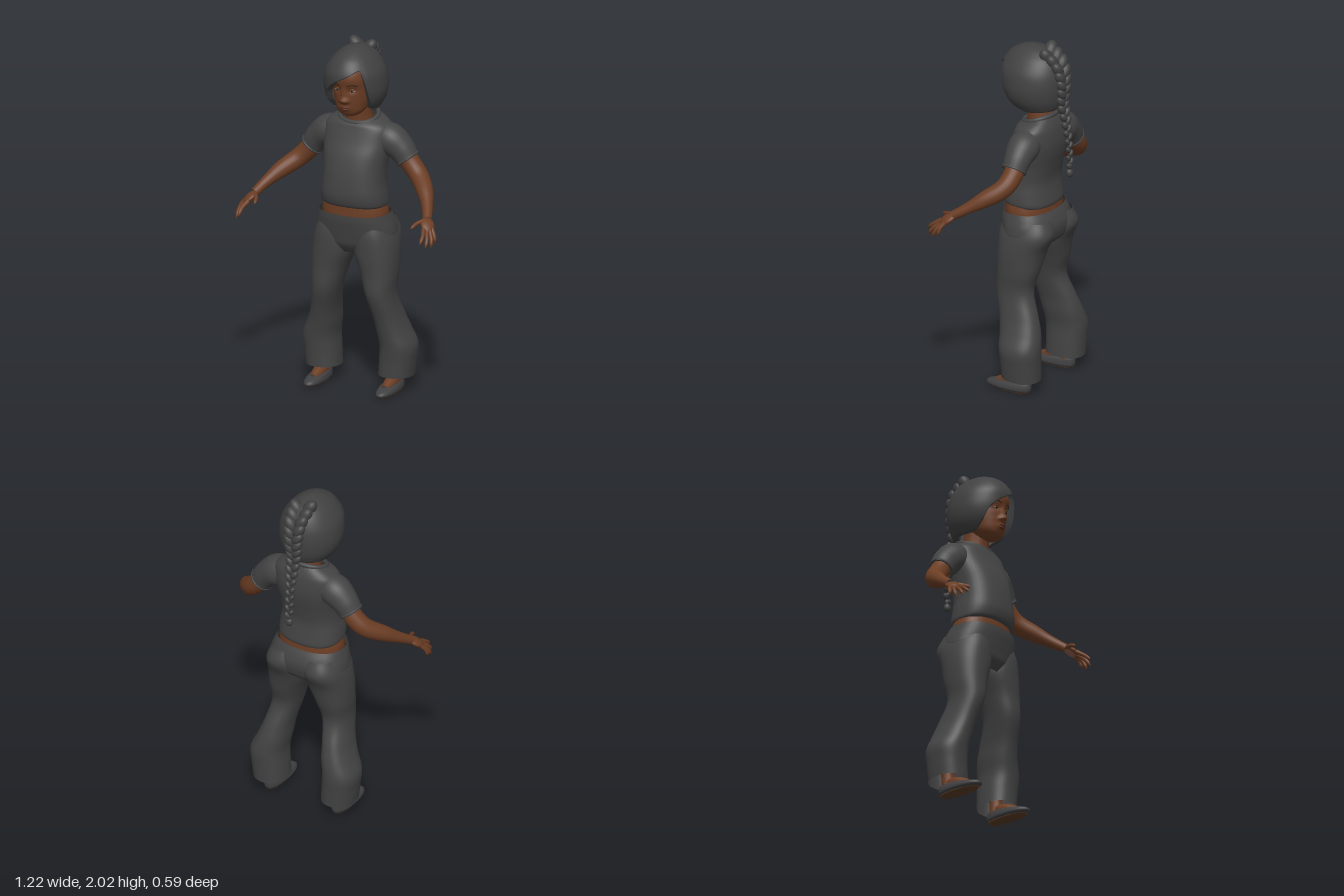
import * as THREE from 'three';
import { mergeVertices, mergeGeometries } from 'three/addons/utils/BufferGeometryUtils.js';

const V = (x, y, z) => new THREE.Vector3(x, y, z);
const mat = (name, color, side = THREE.FrontSide) => {
  const m = new THREE.MeshStandardMaterial({ color, side });
  m.name = name;
  return m;
};
const bump = (x, y, cx, cy, sx, sy) => Math.exp(-(((x - cx) / sx) ** 2) - ((y - cy) / sy) ** 2);

// smooth interpolation through the rows of a table, t from 0 to 1
function sample(rows, t) {
  const f = Math.min(Math.max(t, 0), 1) * (rows.length - 1);
  const i = Math.min(Math.floor(f), rows.length - 2), u = f - i;
  const at = k => rows[Math.min(Math.max(k, 0), rows.length - 1)];
  return rows[i].map((b, k) => {
    const a = at(i - 1)[k], c = at(i + 1)[k], d = at(i + 2)[k];
    return b + 0.5 * u * (c - a + u * (2 * a - 5 * b + 4 * c - d + u * (3 * (b - c) + d - a)));
  });
}

// point on a cross-section [y, centreX, halfWidth, zFront, zBack, tilt]
function ringPoint([y, cx, w, zf, zb, tilt = 0], a, e) {
  const p = v => Math.sign(v) * Math.abs(v) ** (2 / e);
  const s = p(Math.sin(a)), c = p(Math.cos(a));
  return [cx + w * s, y + tilt * c, (zf + zb) / 2 + c * (zf - zb) / 2];
}

// skin a grid of points: rows go up, columns go round
function gridGeometry(rows, cols, point, capped = false) {
  const pos = [], idx = [];
  for (let i = 0; i <= rows; i++)
    for (let j = 0; j < cols; j++) pos.push(...point(i / rows, (j / cols) * Math.PI * 2));
  for (let i = 0; i < rows; i++)
    for (let j = 0; j < cols; j++) {
      const k = (j + 1) % cols, a = i * cols, b = a + cols;
      idx.push(a + j, a + k, b + k, a + j, b + k, b + j);
    }
  if (capped) for (const r of [0, rows]) {
    const c = [0, 0, 0], n = pos.length / 3;
    for (let j = 0; j < cols; j++) for (let k = 0; k < 3; k++) c[k] += pos[(r * cols + j) * 3 + k] / cols;
    pos.push(...c);
    for (let j = 0; j < cols; j++) {
      const p = r * cols + j, q = r * cols + (j + 1) % cols;
      idx.push(...(r ? [n, p, q] : [n, q, p]));
    }
  }
  const g = new THREE.BufferGeometry();
  g.setAttribute('position', new THREE.Float32BufferAttribute(pos, 3));
  g.setIndex(idx);
  g.computeVertexNormals();
  return g;
}

// skin of stacked cross-sections; a missing tilt counts as zero
function loft(sections, { e = 2, rows = 40, cols = 40, capped = false, rule = p => p } = {}) {
  const full = sections.map(([y, x, w, zf, zb, tilt = 0]) => [y, x, w, zf, zb, tilt]);
  return gridGeometry(rows, cols, (t, a) => rule(ringPoint(sample(full, t), a, e)), capped);
}

// tube whose radius changes along its path
function limb(points, radii, seg = 20, sides = 16) {
  const curve = new THREE.CatmullRomCurve3(points.map(p => V(...p)));
  let g = new THREE.TubeGeometry(curve, seg, 1, sides);
  const p = g.attributes.position, v = V(0, 0, 0), table = radii.map(r => [r]);
  for (let i = 0; i < p.count; i++) {
    const t = Math.floor(i / (sides + 1)) / seg, c = curve.getPointAt(t);
    const r = Math.max(sample(table, t)[0], 0.0005);
    v.fromBufferAttribute(p, i).sub(c).multiplyScalar(r).add(c);
    p.setXYZ(i, v.x, v.y, v.z);
  }
  g.deleteAttribute('uv');
  g.deleteAttribute('normal');
  g = mergeVertices(g, 1e-6);
  g.computeVertexNormals();
  return g;
}
const ball = (x, y, z, rx, ry, rz, tilt = 0) =>
  new THREE.SphereGeometry(1, 18, 12).scale(rx, ry, rz).rotateZ(tilt).translate(x, y, z);

export function createModel() {
  const D = THREE.DoubleSide;
  const skin = mat('skin', 0x6b3d24), palmSkin = mat('palm skin', 0x8a5f4c), lip = mat('lips', 0x562c20);
  const hair = mat('hair', 0x414141, D), shirt = mat('shirt cloth', 0x444444, D);
  const trousers = mat('trouser cloth', 0x434344, D), shoe = mat('shoe', 0x404042, D);
  const sole = mat('sole', 0x5a3a26), eyeWhite = mat('eye white', 0x7d6f66), dark = mat('dark brown', 0x24170f);
  const model = new THREE.Group();
  const add = (name, geo, m) => {
    const mesh = new THREE.Mesh(geo, m);
    mesh.name = name;
    model.add(mesh);
    return mesh;
  };

  // head with nose, lips and eye sockets pushed out of the surface
  add('head', loft([
    [1.61, 0, 0.03, 0.06, 0], [1.625, 0, 0.06, 0.085, -0.04], [1.65, 0, 0.083, 0.098, -0.08],
    [1.69, 0, 0.1, 0.106, -0.14], [1.73, 0, 0.11, 0.11, -0.17], [1.78, 0, 0.116, 0.116, -0.19],
    [1.84, 0, 0.118, 0.128, -0.19], [1.9, 0, 0.108, 0.105, -0.18], [1.95, 0, 0.07, 0.05, -0.12],
  ], { e: 2.15, rows: 70, cols: 80, capped: true, rule: ([x, y, z]) => {
    if (z > 0) z += 0.027 * bump(x, y, 0, 1.715, 0.02, 0.018) + 0.012 * bump(x, y, 0, 1.752, 0.014, 0.03)
      + 0.01 * bump(Math.abs(x), y, 0.02, 1.71, 0.011, 0.01) + 0.011 * bump(x, y, 0, 1.668, 0.028, 0.016)
      - 0.01 * bump(Math.abs(x), y, 0.045, 1.772, 0.024, 0.016);
    return [x, y, z];
  } }), skin);
  add('neck', limb([[0, 1.5, -0.09], [0, 1.58, -0.08], [0, 1.68, -0.06]], [0.085, 0.074, 0.07]), skin);
  add('upperLip', ball(0, 1.674, 0.109, 0.026, 0.006, 0.009), lip);
  add('lowerLip', ball(0, 1.661, 0.106, 0.022, 0.007, 0.009), lip);

  // hair cap, its lower edge rising over the face as a swept fringe
  const hairRows = [[1.63, 0, 0.118, 0.075, -0.195], [1.69, 0, 0.158, 0.12, -0.22], [1.75, 0, 0.175, 0.143, -0.23],
    [1.81, 0, 0.174, 0.153, -0.232], [1.87, 0, 0.16, 0.152, -0.222], [1.93, 0, 0.122, 0.118, -0.195],
    [1.965, 0, 0.085, 0.075, -0.155], [1.988, 0, 0.048, 0.025, -0.105], [2, 0, 0.002, -0.03, -0.035]];
  const edge = [[-181, 1.65], [-90, 1.635], [-62, 1.64], [-48, 1.69], [-38, 1.755], [-20, 1.81], [0, 1.845],
    [25, 1.885], [38, 1.9], [43, 1.86], [50, 1.74], [60, 1.66], [90, 1.635], [181, 1.65]];
  const lowerEdge = deg => {
    const i = edge.findIndex(p => p[0] >= deg), [a, b] = [edge[i - 1], edge[i]];
    return a[1] + (b[1] - a[1]) * (deg - a[0]) / (b[0] - a[0]);
  };
  const startAt = y => {
    let lo = 0, hi = 1;
    for (let k = 0; k < 24; k++) {
      const m = (lo + hi) / 2;
      if (sample(hairRows, m)[0] < y) lo = m; else hi = m;
    }
    return lo;
  };
  add('hairCap', gridGeometry(40, 120, (t, a) => {
    const deg = THREE.MathUtils.radToDeg(a > Math.PI ? a - 2 * Math.PI : a);
    const t0 = startAt(lowerEdge(deg));
    const u = Math.max(0, (t - 0.025) / 0.975);
    const [x, y, z] = ringPoint(sample(hairRows, t0 + (1 - t0) * u), a, 2.05);
    const k = t === 0 ? 0.8 : 1; // first row folds inward to give the edge thickness
    return [x * k, y, -0.04 + (z + 0.04) * k];
  }), hair);

  // braid of overlapping strands from the crown down the back
  const braidPath = new THREE.CatmullRomCurve3([V(0, 1.965, -0.12), V(0, 1.9, -0.205), V(0, 1.79, -0.233),
    V(0, 1.68, -0.228), V(0, 1.6, -0.245), V(0, 1.45, -0.268), V(0, 1.32, -0.275)]);
  const strands = [];
  for (let i = 0; i < 30; i++) {
    const t = i / 29, p = braidPath.getPointAt(t), side = i % 2 ? 1 : -1;
    const r = 0.046 - 0.03 * Math.min(1, t * 1.25);
    // turn each strand about its own centre
    strands.push(ball(0, 0, 0, r * 0.8, r * 1.3, r * 0.85, -side * 0.6).translate(p.x + side * r * 0.75, p.y, p.z));
  }
  strands.push(ball(0, 1.315, -0.275, 0.012, 0.02, 0.012), ball(0, 1.278, -0.272, 0.022, 0.026, 0.02));
  strands.push(new THREE.ConeGeometry(0.017, 0.035, 12).rotateX(Math.PI).translate(0, 1.262, -0.27));
  add('braid', mergeGeometries(strands), hair);

  // shirt body and collar
  add('shirtBody', loft([
    [1.078, 0, 0.178, 0.095, -0.175, 0.008], [1.095, 0, 0.188, 0.112, -0.18, 0.005], [1.15, 0, 0.186, 0.124, -0.172],
    [1.22, 0, 0.178, 0.12, -0.166], [1.3, 0, 0.178, 0.108, -0.18], [1.38, 0, 0.188, 0.086, -0.198],
    [1.45, 0, 0.197, 0.055, -0.206], [1.52, 0, 0.196, 0.03, -0.2, -0.005], [1.555, 0, 0.165, 0.02, -0.188, -0.012],
    [1.58, 0, 0.118, 0.008, -0.172, -0.022],
  ], { e: 2.4 }), shirt);
  const collar = [];
  for (let i = 0; i < 24; i++) collar.push(V(...ringPoint([1.581, 0, 0.11, 0.002, -0.168, -0.026], i / 12 * Math.PI, 2.1)));
  add('collar', new THREE.TubeGeometry(new THREE.CatmullRomCurve3(collar, true), 60, 0.013, 10, true), shirt);

  // bare waist and trouser seat
  add('waist', loft([[1, 0, 0.19, 0.09, -0.17], [1.05, 0, 0.19, 0.09, -0.165], [1.12, 0, 0.172, 0.088, -0.16]], { e: 2.3 }), skin);
  add('trouserSeat', loft([
    [0.81, 0, 0.09, 0.05, -0.12], [0.86, 0, 0.2, 0.082, -0.19], [0.91, 0, 0.232, 0.094, -0.212],
    [0.96, 0, 0.228, 0.104, -0.215], [1.005, 0, 0.215, 0.112, -0.2], [1.042, 0, 0.203, 0.114, -0.178],
  ], { e: 2.4 }), trousers);

  for (const s of [1, -1]) {
    const side = s > 0 ? 'left' : 'right';
    const path = pts => pts.map(([x, y, z]) => [s * x, y, z]);
    const rings = rows => rows.map(([y, x, ...r]) => [y, s * x, ...r]);

    // eyes and brows
    add(side + 'Eye', ball(s * 0.045, 1.772, 0.094, 0.019, 0.008, 0.01), eyeWhite);
    add(side + 'Iris', ball(s * 0.045, 1.772, 0.1, 0.008, 0.0075, 0.006), dark);
    add(side + 'UpperLid', limb(path([[0.025, 1.775, 0.1], [0.045, 1.783, 0.104], [0.067, 1.774, 0.09]]), [0.003, 0.005, 0.003], 10, 8), skin);
    add(side + 'Brow', limb(path([[0.022, 1.803, 0.119], [0.048, 1.811, 0.111], [0.075, 1.802, 0.092]]), [0.003, 0.004, 0.002], 10, 8), dark);

    // sleeve with cuff
    add(side + 'Sleeve', limb(path([[0.12, 1.48, -0.09], [0.19, 1.455, -0.093], [0.25, 1.41, -0.096], [0.295, 1.35, -0.096]]),
      [0.08, 0.09, 0.078, 0.068], 24, 28), shirt);
    const cuff = add(side + 'Cuff', new THREE.TorusGeometry(0.065, 0.008, 10, 32), shirt);
    cuff.position.set(s * 0.291, 1.356, -0.096);
    cuff.lookAt(s * (0.291 + 0.62), 1.356 - 0.78, -0.096);

    // arm and hand
    add(side + 'Arm', limb(path([[0.24, 1.42, -0.095], [0.31, 1.33, -0.1], [0.37, 1.27, -0.08], [0.45, 1.205, 0.005],
      [0.505, 1.145, 0.095], [0.53, 1.11, 0.15]]), [0.058, 0.056, 0.053, 0.047, 0.033, 0.026], 30, 20), skin);
    const along = V(s * 0.4, -0.55, 0.73).normalize(), across = V(s * 0.55, 0, -0.83);
    across.addScaledVector(along, -across.dot(along)).normalize();
    const out = across.clone().cross(along).multiplyScalar(-s);
    const basis = new THREE.Matrix4().makeBasis(across, along.clone().cross(across), along);
    const palm = (name, lift, w, h, l, m) => add(name, new THREE.SphereGeometry(1, 20, 14).scale(w, h, l).applyMatrix4(basis)
      .translate(s * 0.545 + out.x * lift, 1.09 + out.y * lift, 0.175 + out.z * lift), m);
    palm(side + 'Hand', 0, 0.04, 0.019, 0.053, skin);
    palm(side + 'Palm', -0.004, 0.033, 0.0175, 0.045, palmSkin);
    [[[0.54, 1.075, 0.215], [0.556, 1.045, 0.262], [0.557, 1.012, 0.3]],
      [[0.554, 1.067, 0.205], [0.577, 1.03, 0.25], [0.583, 0.988, 0.28]],
      [[0.566, 1.067, 0.193], [0.591, 1.03, 0.222], [0.6, 0.982, 0.243]],
      [[0.573, 1.072, 0.178], [0.596, 1.04, 0.195], [0.606, 1.0, 0.203]],
      [[0.52, 1.108, 0.165], [0.495, 1.1, 0.205], [0.479, 1.08, 0.257]]].forEach((f, i) =>
      add(side + (i < 4 ? 'Finger' + (i + 1) : 'Thumb'), limb(path(f), [0.014, 0.0125, 0.0115, 0.011, 0.0095, 0], 18, 10), skin));

    // flared trouser leg
    add(side + 'TrouserLeg', loft(rings([
      [0.09, 0.222, 0.097, 0.012, -0.21, 0.005], [0.18, 0.23, 0.1, 0.014, -0.214], [0.27, 0.235, 0.1, 0.022, -0.218],
      [0.36, 0.21, 0.087, 0.035, -0.205], [0.45, 0.19, 0.076, 0.055, -0.177], [0.58, 0.164, 0.079, 0.09, -0.13],
      [0.7, 0.15, 0.1, 0.09, -0.158], [0.82, 0.127, 0.122, 0.094, -0.187], [0.92, 0.12, 0.114, 0.092, -0.23],
      [1.0, 0.11, 0.09, 0.075, -0.2],
    ]), { e: 2.3, rows: 50 }), trousers);

    // ankle, instep, slipper and sole
    add(side + 'Ankle', limb(path([[0.222, 0.2, -0.11], [0.22, 0.1, -0.1], [0.219, 0.03, -0.095]]), [0.042, 0.037, 0.04]), skin);
    add(side + 'Instep', limb(path([[0.22, 0.07, -0.1], [0.22, 0.06, -0.03], [0.221, 0.04, 0.05]]), [0.036, 0.036, 0.024]), skin);
    add(side + 'Shoe', loft(rings([
      [0.006, 0.221, 0.042, 0.11, -0.15], [0.02, 0.221, 0.052, 0.127, -0.158], [0.038, 0.221, 0.05, 0.118, -0.16, -0.002],
      [0.052, 0.22, 0.044, 0.09, -0.158, -0.006], [0.06, 0.22, 0.037, 0.055, -0.152, -0.008],
    ]), { e: 2.2, rows: 16 }), shoe);
    add(side + 'Sole', loft(rings([[0, 0.221, 0.038, 0.1, -0.145], [0.007, 0.221, 0.043, 0.112, -0.151]]),
      { e: 2.2, rows: 2, capped: true }), sole);
  }
  return model;
}
